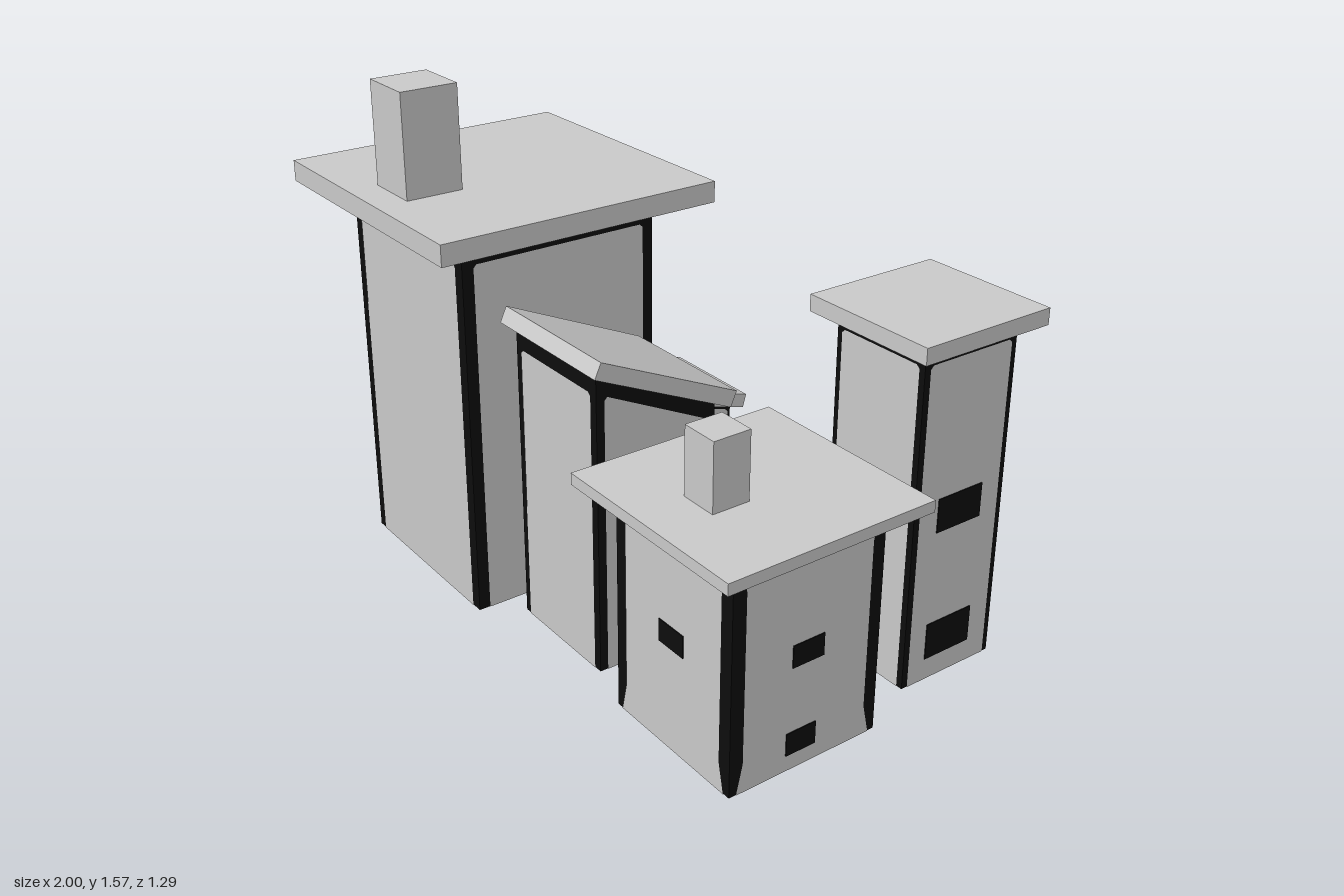
import * as THREE from 'three';

const stone = new THREE.MeshStandardMaterial({ color: 0xcccccc });
stone.name = 'light grey';
const dark = new THREE.MeshStandardMaterial({ color: 0x0d0d0d });
dark.name = 'near black';

function addBox(parent, name, material, [w, h, d], [x, y, z]) {
  const mesh = new THREE.Mesh(new THREE.BoxGeometry(w, h, d), material);
  mesh.name = name;
  mesh.position.set(x, y, z);
  parent.add(mesh);
  return mesh;
}

// Pale wall panel with clipped top corners and an optional flare at foot and head
function panelGeometry(halfWidth, topAt, flare) {
  const shape = new THREE.Shape();
  const clip = 0.01;
  const foot = flare ? 0.09 : 0.02;
  const edge = [
    [halfWidth + flare, () => 0],
    [halfWidth, () => foot],
    [halfWidth, (top) => top - clip - 2 * flare],
    [halfWidth + flare / 3, (top) => top - clip],
    [halfWidth - clip, (top) => top],
  ];
  // Up the right edge, then down its mirror image
  for (const [u, v] of edge) shape.lineTo(u, v(topAt(halfWidth)));
  for (const [u, v] of edge.reverse()) shape.lineTo(-u, v(topAt(-halfWidth)));
  return new THREE.ShapeGeometry(shape);
}

// One house: dark posts and top band, pale wall panels, overhanging roof.
// Positive slope raises the front of a lean-to roof.
function makeHouse(name, { x, z, w, d, h, strip, band, over, roof, slope = 0, flare = 0 }) {
  const house = new THREE.Group();
  house.name = name;
  house.position.set(x, 0, z);

  const body = addBox(house, 'body', [dark, dark, stone, stone, dark, dark], [w, h, d], [0, h / 2, 0]);
  const pos = body.geometry.attributes.position;
  for (let i = 0; i < pos.count; i++) {
    if (pos.getY(i) > 0) pos.setY(i, pos.getY(i) + slope * pos.getZ(i));
  }
  body.geometry.computeVertexNormals();

  // Walls in order round the house, a quarter turn apart
  const walls = {};
  ['front', 'left', 'back', 'right'].forEach((side, i) => {
    const wall = new THREE.Group();
    wall.name = side + 'Wall';
    wall.rotation.y = i * Math.PI / 2;
    const [width, depth] = i % 2 ? [d, w] : [w, d];
    // Roof height along the wall, from each point's z in the house
    const topAt = (u) => h - band + slope * (depth / 2 * Math.cos(wall.rotation.y) - u * Math.sin(wall.rotation.y));
    const panel = new THREE.Mesh(panelGeometry(width / 2 - strip, topAt, flare), stone);
    panel.name = 'wallPanel';
    panel.position.z = depth / 2 + 0.002;
    wall.add(panel);
    house.add(wall);
    walls[side] = { wall, out: depth / 2 + 0.003 };
  });

  // Roof slab, tilted to the slope and resting on the body
  const tilt = Math.atan(slope);
  const size = [w + 2 * over, roof, (d + 2 * over) / Math.cos(tilt) - roof * Math.sin(tilt)];
  const offset = -Math.sin(tilt) * roof / 2;
  addBox(house, 'roof', stone, size, [0, h + Math.cos(tilt) * roof / 2, offset]).rotation.x = -tilt;

  // Thin dark plate; u runs to the viewer's right along that wall
  const opening = (part, side, u, y, width, height) =>
    addBox(walls[side].wall, part, dark, [width, height, 0.004], [u, y, walls[side].out]);
  return {
    house,
    addWindow: (...at) => opening('window', ...at),
    addDoor: (u, width, height) => opening('door', 'back', u, height / 2 + 0.005, width, height),
    addChimney: (cx, cz, width, height) =>
      addBox(house, 'chimney', stone, [width, height, width], [cx, h + roof + height / 2, cz]),
  };
}

function makeLargeHouse() {
  const b = makeHouse('largeHouse', {
    x: -0.545, z: 0.185, w: 0.65, d: 0.65, h: 1.19, strip: 0.036, band: 0.07, over: 0.132, roof: 0.065,
  });
  b.addWindow('back', 0.005, 0.95, 0.434, 0.16);
  for (const u of [-0.135, 0.14]) b.addWindow('back', u, 0.48, 0.165, 0.095);
  b.addWindow('right', 0.005, 0.565, 0.22, 0.53);
  b.addChimney(0, 0.27, 0.18, 0.315);
  return b.house;
}

function makeSlopedHouse() {
  const b = makeHouse('slopedHouse', {
    x: 0.06, z: 0.19, w: 0.4, d: 0.4, h: 0.842, strip: 0.025, band: 0.055, over: 0.038, roof: 0.05, slope: 0.458,
  });
  b.addDoor(0, 0.11, 0.15);
  return b.house;
}

function makeChimneyHouse() {
  const b = makeHouse('chimneyHouse', {
    x: 0.663, z: 0.185, w: 0.495, d: 0.5, h: 0.685, strip: 0.042, band: 0.03, over: 0.085, roof: 0.035, flare: 0.02,
  });
  for (const side of ['front', 'left', 'right']) b.addWindow(side, 0, 0.355, 0.105, 0.068);
  b.addWindow('left', -0.015, 0.085, 0.1, 0.07);
  b.addDoor(0, 0.115, 0.155);
  b.addChimney(0, 0.11, 0.118, 0.205);
  return b.house;
}

function makeTower() {
  const b = makeHouse('tower', {
    x: 0.662, z: -0.42, w: 0.335, d: 0.34, h: 1.04, strip: 0.019, band: 0.04, over: 0.056, roof: 0.05,
  });
  b.addWindow('back', 0, 0.463, 0.17, 0.095);
  b.addWindow('left', 0, 0.533, 0.165, 0.105);
  b.addWindow('left', -0.005, 0.128, 0.17, 0.115);
  b.addWindow('right', 0.027, 0.585, 0.176, 0.09);
  b.addDoor(0, 0.1, 0.155);
  return b.house;
}

function makeLowShed() {
  const b = makeHouse('lowShed', {
    x: 0.06, z: -0.422, w: 0.535, d: 0.34, h: 0.215, strip: 0.028, band: 0.015, over: 0.028, roof: 0.03,
  });
  b.addWindow('back', -0.148, 0.105, 0.077, 0.06);
  b.addDoor(0.095, 0.085, 0.12);
  return b.house;
}

function makeSmallShed() {
  const b = makeHouse('smallShed', {
    x: -0.528, z: -0.422, w: 0.305, d: 0.31, h: 0.373, strip: 0.012, band: 0.018, over: 0.035, roof: 0.047, slope: 0.284,
  });
  b.addWindow('back', -0.042, 0.23, 0.086, 0.069);
  b.addDoor(0.005, 0.085, 0.127);
  return b.house;
}

export function createModel() {
  const village = new THREE.Group();
  village.name = 'village';
  village.add(makeLargeHouse(), makeSlopedHouse(), makeChimneyHouse(), makeTower(), makeLowShed(), makeSmallShed());
  return village;
}
